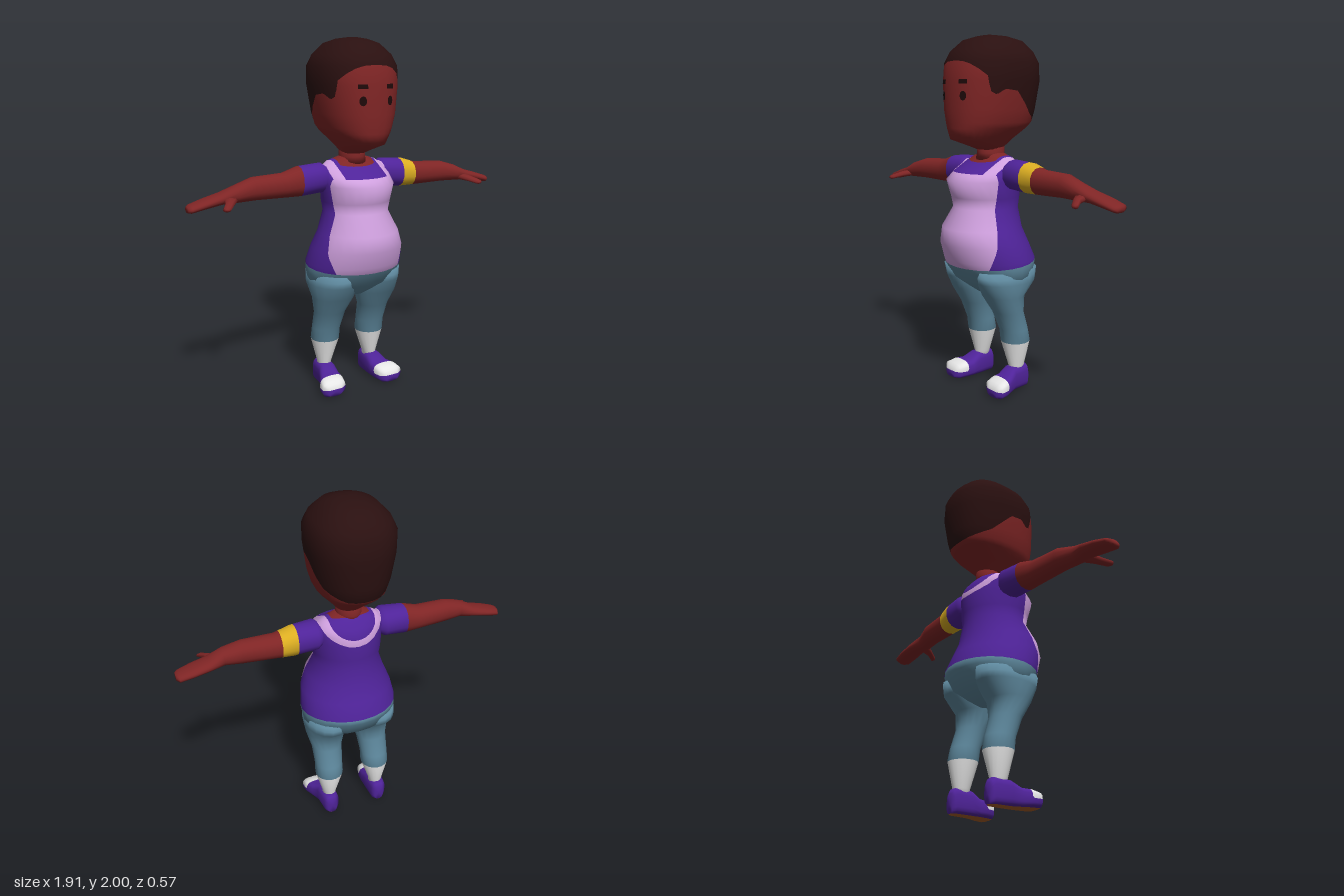
import * as THREE from 'three';

const mat = (name, color) => Object.assign(new THREE.MeshStandardMaterial({ color }), { name });
const M = {
  skin: mat('skin', 0x7f2525), hair: mat('hair', 0x2a1010), eye: mat('eye', 0x1e0a0a),
  shirt: mat('shirt', 0x4f2399), apron: mat('apron', 0xcfa0de), pants: mat('pants', 0x5d879c),
  white: mat('white', 0xe6e6e6), cuff: mat('cuff', 0xdcae22), sole: mat('sole', 0xa85e28),
};

// Axis order of a section [t, u0, u1, v0, v1] for each loft direction
const AXES = { x: [0, 1, 2], y: [1, 0, 2], z: [2, 0, 1] };

// Loft superellipse sections along an axis; returns triangles of [x,y,z,nx,ny,nz] vertices
function loft(axis, sections, { seg = 20, p = 2, side = 1, refine = 1 } = {}) {
  const [T, U, V] = AXES[axis], pos = [], idx = [];
  const put = (t, u, v) => {
    const q = [0, 0, 0];
    q[T] = t; q[U] = u; q[V] = v;
    pos.push(q[0] * side, q[1], q[2]);
  };
  const pw = (c) => Math.sign(c) * Math.abs(c) ** (2 / p);
  for (const [t, u0, u1, v0, v1] of sections)
    for (let i = 0; i < seg; i++) {
      const a = (i / seg) * Math.PI * 2;
      put(t, (u0 + u1) / 2 + (u1 - u0) / 2 * pw(Math.cos(a)), (v0 + v1) / 2 + (v1 - v0) / 2 * pw(Math.sin(a)));
    }
  const n = sections.length;
  for (const s of [sections[0], sections[n - 1]]) put(s[0], (s[1] + s[2]) / 2, (s[3] + s[4]) / 2);
  // The winding depends on axis, mirroring and direction of the sections
  const flip = (axis === 'y' ? -1 : 1) * side * Math.sign(sections[n - 1][0] - sections[0][0]) < 0;
  const tri = (a, b, c) => (flip ? idx.push(a, c, b) : idx.push(a, b, c));
  for (let i = 0; i < seg; i++) {
    const j = (i + 1) % seg, e = (n - 1) * seg;
    for (let r = 0; r < n - 1; r++) {
      const a = r * seg + i, b = r * seg + j;
      tri(a, b, b + seg);
      tri(a, b + seg, a + seg);
    }
    tri(n * seg, j, i);
    tri(n * seg + 1, e + i, e + j);
  }
  const g = new THREE.BufferGeometry();
  g.setAttribute('position', new THREE.Float32BufferAttribute(pos, 3));
  g.setIndex(idx);
  g.computeVertexNormals();
  const nor = g.attributes.normal.array;
  const vert = (i) => [...pos.slice(i * 3, i * 3 + 3), ...nor.slice(i * 3, i * 3 + 3)];
  let tris = [];
  for (let i = 0; i < idx.length; i += 3) tris.push([vert(idx[i]), vert(idx[i + 1]), vert(idx[i + 2])]);
  for (let k = 0; k < refine; k++)
    tris = tris.flatMap(([a, b, c]) => {
      const ab = mix(a, b, 0.5), bc = mix(b, c, 0.5), ca = mix(c, a, 0.5);
      return [[a, ab, ca], [ab, b, bc], [ca, bc, c], [ab, bc, ca]];
    });
  return tris;
}

const mix = (a, b, k) => a.map((v, i) => v + (b[i] - v) * k);

// Keep the part of the triangles where sign * f(x, y, z) is positive
function clip(tris, f, sign) {
  const out = [];
  for (const t of tris) {
    const d = t.map((v) => sign * f(v[0], v[1], v[2])), poly = [];
    for (let i = 0; i < 3; i++) {
      const j = (i + 1) % 3;
      if (d[i] >= 0) poly.push(t[i]);
      if (d[i] * d[j] < 0) poly.push(mix(t[i], t[j], d[i] / (d[i] - d[j])));
    }
    for (let i = 2; i < poly.length; i++) out.push([poly[0], poly[i - 1], poly[i]]);
  }
  return out;
}

// Cut a surface into coloured parts: [name, material, field] rows, the last without a field
function paint(group, tris, rows) {
  for (const [name, material, f] of rows) {
    const part = f ? clip(tris, f, 1) : tris;
    if (f) tris = clip(tris, f, -1);
    if (!part.length) continue;
    const vs = part.flat(), g = new THREE.BufferGeometry();
    g.setAttribute('position', new THREE.Float32BufferAttribute(vs.flatMap((v) => v.slice(0, 3)), 3));
    g.setAttribute('normal', new THREE.Float32BufferAttribute(vs.flatMap((v) => v.slice(3)), 3));
    g.normalizeNormals();
    const mesh = new THREE.Mesh(g, material);
    mesh.name = name;
    group.add(mesh);
  }
}

// Piecewise linear lookup in rows sorted by their first value
function lookup(rows, x) {
  if (x <= rows[0][0]) return rows[0];
  for (let i = 1; i < rows.length; i++)
    if (x <= rows[i][0]) return mix(rows[i - 1], rows[i], (x - rows[i - 1][0]) / (rows[i][0] - rows[i - 1][0]));
  return rows[rows.length - 1];
}

// Section symmetric in x: height, half width, back z, front z
const sym = ([y, r, zb, zf]) => [y, -r, r, zb, zf];

const HEAD = [
  [1.375, 0.06, -0.06, 0.06], [1.4, 0.08, -0.09, 0.13], [1.44, 0.12, -0.14, 0.25], [1.5, 0.17, -0.22, 0.257],
  [1.53, 0.185, -0.25, 0.26], [1.6, 0.206, -0.265, 0.265], [1.75, 0.228, -0.287, 0.263], [1.85, 0.23, -0.28, 0.25],
  [1.91, 0.2, -0.25, 0.22], [1.97, 0.14, -0.19, 0.15], [1.993, 0.08, -0.1, 0.07], [2, 0.03, -0.04, 0.03],
];
const HAIRLINE = [
  [-0.25, 1.52], [-0.13, 1.58], [-0.06, 1.65], [-0.01, 1.7], [0.07, 1.71], [0.12, 1.68],
  [0.155, 1.7], [0.165, 1.775], [0.25, 1.86], [0.265, 1.88],
];
const TRUNK = [
  [0.57, 0.05, -0.05, 0.08], [0.6, 0.16, -0.11, 0.12], [0.65, 0.27, -0.19, 0.185], [0.735, 0.283, -0.232, 0.24],
  [0.77, 0.28, -0.24, 0.255], [0.86, 0.265, -0.2, 0.285], [0.95, 0.228, -0.165, 0.285], [1.06, 0.185, -0.15, 0.215],
  [1.12, 0.197, -0.155, 0.225], [1.215, 0.207, -0.16, 0.256], [1.265, 0.205, -0.148, 0.185], [1.3, 0.195, -0.13, 0.115],
  [1.335, 0.15, -0.1, 0.06], [1.36, 0.07, -0.075, 0.05],
];
const ARM = [
  [0.15, 1.2, 1.3, -0.06, 0.05], [0.2, 1.17, 1.334, -0.1, 0.08], [0.33, 1.158, 1.325, -0.09, 0.066],
  [0.42, 1.16, 1.297, -0.075, 0.06], [0.6, 1.165, 1.29, -0.06, 0.065], [0.7, 1.165, 1.26, -0.035, 0.07],
  [0.78, 1.163, 1.225, -0.055, 0.065], [0.87, 1.148, 1.2, -0.058, 0.065], [0.94, 1.134, 1.178, -0.05, 0.057],
  [0.957, 1.138, 1.17, -0.02, 0.04],
];
const THUMB = [
  [0.04, 0.69, 0.78, 1.17, 1.21], [0.1, 0.735, 0.79, 1.163, 1.197], [0.15, 0.773, 0.82, 1.15, 1.177],
  [0.16, 0.788, 0.81, 1.155, 1.168],
];
const LEG = [
  [0.1, 0.115, 0.195, -0.11, -0.02], [0.14, 0.115, 0.195, -0.12, -0.02], [0.29, 0.065, 0.234, -0.15, 0.02],
  [0.36, 0.065, 0.232, -0.135, 0.03], [0.47, 0.052, 0.237, -0.1, 0.075], [0.57, 0.015, 0.262, -0.1, 0.138],
  [0.65, 0.003, 0.276, -0.185, 0.18], [0.72, 0.01, 0.27, -0.2, 0.2],
];
const SHOE = [
  [-0.14, 0.13, 0.185, 0.005, 0.11], [-0.12, 0.11, 0.205, 0, 0.14], [-0.02, 0.105, 0.215, 0, 0.138],
  [0.03, 0.105, 0.235, 0, 0.106], [0.08, 0.107, 0.26, 0, 0.101], [0.125, 0.118, 0.265, 0, 0.09],
  [0.145, 0.15, 0.235, 0.008, 0.06],
];

// Straps run over the shoulders and join in a U across the back
const strap = (x, y, z) => {
  if (z > -0.03) return Math.min(0.025 - Math.abs(Math.abs(x) - 0.155), y - 1.24);
  const q = Math.hypot(x / 0.18, Math.max(0, 1.34 - y) / 0.13);
  return Math.min(1 - q, q - 0.72) * 0.15;
};

export function createModel() {
  const root = new THREE.Group();
  root.name = 'figure';
  const sub = (name) => {
    const g = new THREE.Group();
    g.name = name;
    root.add(g);
    return g;
  };

  // Head, hair and neck
  const head = sub('head'), P = 2.3;
  paint(head, loft('y', HEAD.map(sym), { seg: 28, p: P, refine: 2 }), [
    ['hair', M.hair, (x, y, z) => y - lookup(HAIRLINE, z)[1]], ['face', M.skin]]);
  paint(head, loft('y', [[1.32, 0.085, -0.09, 0.08], [1.36, 0.07, -0.088, 0.075], [1.44, 0.075, -0.085, 0.08]].map(sym)),
    [['neck', M.skin]]);

  // Eyes and brows follow the curve of the face
  const onFace = (name, cx, cy, w, h, sides) => {
    const g = new THREE.CircleGeometry(0.5, sides), a = g.attributes.position;
    if (sides === 4) g.rotateZ(Math.PI / 4).scale(1.414, 1.414, 1);
    g.scale(w, h, 1).translate(cx, cy, 0);
    for (let i = 0; i < a.count; i++) {
      const [, r, zb, zf] = lookup(HEAD, a.getY(i));
      const k = (1 - (Math.abs(a.getX(i)) / r) ** P) ** (1 / P);
      a.setZ(i, (zb + zf) / 2 + (zf - zb) / 2 * k + 0.003);
    }
    g.computeVertexNormals();
    const m = new THREE.Mesh(g, M.eye);
    m.name = name;
    head.add(m);
  };
  for (const s of [-1, 1]) {
    onFace('eye', s * 0.082, 1.674, 0.038, 0.05, 12);
    onFace('brow', s * 0.082, 1.748, 0.05, 0.024, 4);
  }

  // Trunk with trousers, apron and shirt
  paint(sub('trunk'), loft('y', TRUNK.map(sym), { seg: 24, refine: 2 }), [
    ['hips', M.pants, (x, y, z) => 0.752 - 0.073 * z - y],
    ['neckline', M.skin, (x, y, z) => Math.min(y - 1.335 + 0.25 * z, 0.11 - Math.abs(x))],
    ['apron', M.apron, (x, y, z) => Math.min(1.255 - y, z - 0.105 - 0.21 * Math.max(0, 1.06 - y))],
    ['apronStraps', M.apron, strap], ['shirt', M.shirt]]);

  for (const side of [1, -1]) {
    const label = side > 0 ? 'left' : 'right';
    // Arm with sleeve; only the left one wears a cuff
    const arm = sub(label + 'Arm'), end = side > 0 ? 0.31 : 0.33;
    const rows = [['apronStrap', M.apron, strap], ['sleeve', M.shirt, (x) => end - x * side], ['forearm', M.skin]];
    if (side > 0) rows.splice(2, 0, ['cuff', M.cuff, (x) => 0.395 - x]);
    paint(arm, loft('x', ARM, { seg: 14, side, p: 2.2 }), rows);
    paint(arm, loft('z', THUMB, { seg: 8, side, refine: 0 }), [['thumb', M.skin]]);
    // Leg and shoe
    const leg = sub(label + 'Leg');
    paint(leg, loft('y', LEG, { seg: 18, side }), [['sock', M.white, (x, y) => 0.285 - y], ['trouserLeg', M.pants]]);
    paint(leg, loft('z', SHOE, { seg: 20, side, p: 3 }), [
      ['sole', M.sole, (x, y) => 0.006 - y],
      ['toeCap', M.white, (x, y, z) => Math.min(z - 0.07, y - 0.048)], ['shoe', M.shirt]]);
  }
  return root;
}
